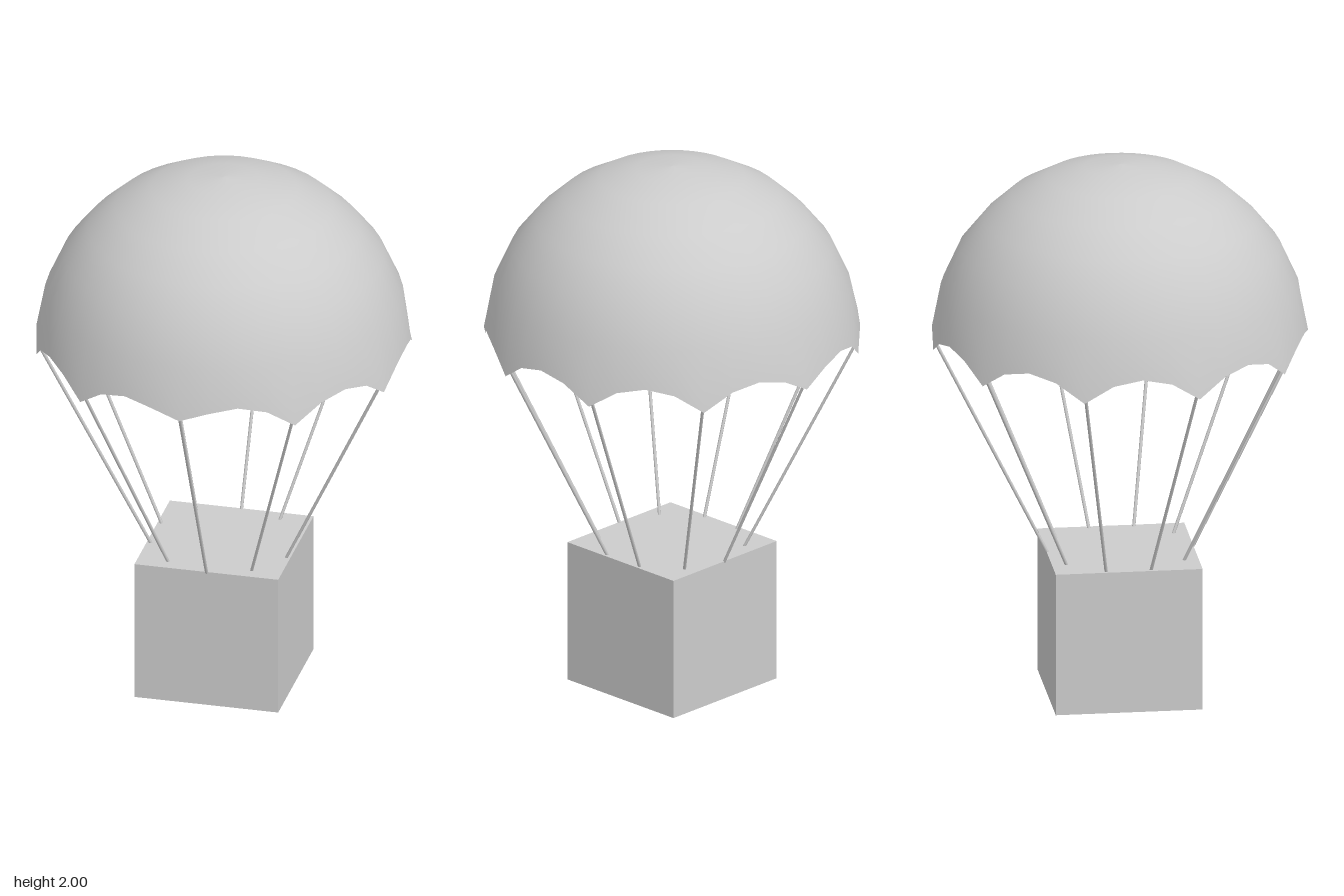
import * as THREE from 'three';

const CORDS = 10;
const SEGMENTS = CORDS * 4;
const RIM_RADIUS = 0.68;
const RIM_TOP = 1.4;

const material = new THREE.MeshStandardMaterial({ color: 0xcccccc });
const clothMaterial = new THREE.MeshStandardMaterial({ color: 0xcccccc, side: THREE.DoubleSide });

// Depth of the scallop point at each cord; front and back points are a little shorter
const pointDrop = (k) => (k === 0 ? 0.06 : k === CORDS / 2 ? 0.08 : 0.092);

// Domed canopy: a lathe whose rim is pulled down into points between the scallops
function createCanopy() {
  const profile = [
    [RIM_RADIUS, RIM_TOP], [0.648, 1.54], [0.58, 1.69], [0.495, 1.795],
    [0.395, 1.885], [0.265, 1.955], [0.13, 1.99], [0, 2],
  ].map(([r, y]) => new THREE.Vector2(r, y));
  const geometry = new THREE.LatheGeometry(profile, SEGMENTS);
  const position = geometry.attributes.position;
  const rows = profile.length;
  for (let i = 0; i < position.count; i++) {
    if (i % rows !== 0) continue;
    const step = Math.floor(i / rows);
    const k = Math.round(step / 4) % CORDS;
    const fromMiddle = Math.abs((step + 2) % 4 - 2) === 0 ? 1 : 0;
    const t = step % 4 === 0 ? 1 : Math.abs((step % 4) - 2) / 2;
    position.setY(i, RIM_TOP - pointDrop(fromMiddle ? k : 1) * t * t);
  }
  const canopy = new THREE.Mesh(geometry, clothMaterial);
  canopy.name = 'canopy';
  return canopy;
}

// Thin straight cord between two points
function createCord(from, to) {
  const direction = to.clone().sub(from);
  const cord = new THREE.Mesh(new THREE.CylinderGeometry(0.006, 0.006, direction.length(), 6), material);
  cord.position.copy(from).lerp(to, 0.5);
  cord.quaternion.setFromUnitVectors(new THREE.Vector3(0, 1, 0), direction.normalize());
  cord.name = 'cord';
  return cord;
}

export function createModel() {
  const model = new THREE.Group();
  model.name = 'parachuteCrate';
  model.add(createCanopy());

  // Cords from the scallop points to the top of the crate
  const cords = new THREE.Group();
  cords.name = 'cords';
  for (let k = 0; k < CORDS; k++) {
    const angle = (k / CORDS) * Math.PI * 2;
    const ring = (r, y) => new THREE.Vector3(Math.sin(angle) * r, y, Math.cos(angle) * r);
    cords.add(createCord(ring(0.263, 0.53), ring(0.67, 1.345)));
  }
  model.add(cords);

  // Cargo crate
  const crate = new THREE.Mesh(new THREE.BoxGeometry(0.535, 0.535, 0.535), material);
  crate.position.y = 0.2675;
  crate.name = 'crate';
  model.add(crate);
  return model;
}
